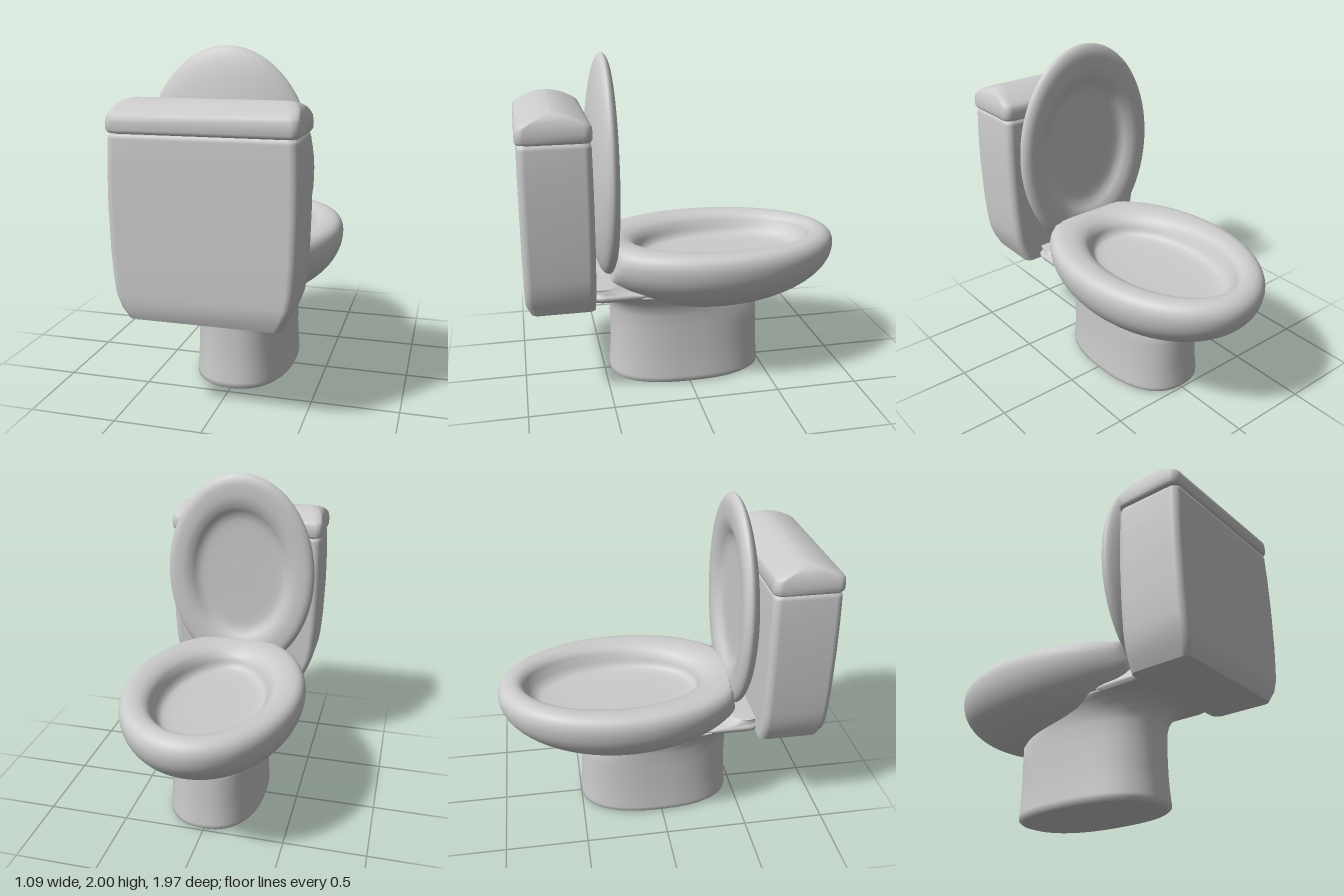
import * as THREE from 'three';

const SEGMENTS = 72;
const material = new THREE.MeshStandardMaterial({ color: 0xcccccc });

// Outline point of a ring: ellipse, superellipse (power) or rounded rectangle (corner)
function ringPoint([y, rx, rz, cz], angle, { power = 2, corner = 0 }) {
  const c = Math.cos(angle), s = Math.sin(angle);
  if (corner) {
    const r = Math.min(corner, rx, rz);
    return [Math.sign(c) * (rx - r) + r * c, y, cz + Math.sign(s) * (rz - r) + r * s];
  }
  const bend = (v) => Math.sign(v) * Math.abs(v) ** (2 / power);
  return [rx * bend(c), y, cz + rz * bend(s)];
}

// Adds in-between rings along a Catmull-Rom curve
function smoothRings(rings, steps) {
  const at = (i) => rings[Math.min(Math.max(i, 0), rings.length - 1)];
  const out = [];
  for (let i = 0; i < rings.length - 1; i++) {
    for (let k = 0; k < steps; k++) {
      const t = k / steps;
      out.push(at(i).map((p1, d) => {
        const p0 = at(i - 1)[d], p2 = at(i + 1)[d], p3 = at(i + 2)[d];
        return p1 + 0.5 * t * (p2 - p0 + t * (2 * p0 - 5 * p1 + 4 * p2 - p3 + t * (3 * (p1 - p2) + p3 - p0)));
      }));
    }
  }
  out.push(at(rings.length - 1));
  return out;
}

// Skin over rings [y, half width, half depth, centre z]; a repeated ring makes a crease
function loft(rings, options = {}) {
  const positions = [], index = [];
  rings.forEach((ring, j) => {
    for (let i = 0; i < SEGMENTS; i++) {
      const p = ringPoint(ring, ((i + 0.5) / SEGMENTS) * Math.PI * 2, options);
      if (options.limit) p[2] = Math.min(p[2], options.limit(p[1]));
      positions.push(...p);
      if (j === rings.length - 1) continue;
      const a = j * SEGMENTS + i, b = j * SEGMENTS + ((i + 1) % SEGMENTS);
      index.push(a, a + SEGMENTS, b, b, a + SEGMENTS, b + SEGMENTS);
    }
  });
  const geometry = new THREE.BufferGeometry();
  geometry.setAttribute('position', new THREE.Float32BufferAttribute(positions, 3));
  geometry.setIndex(index);
  geometry.computeVertexNormals();
  return geometry;
}

export function createModel() {
  const group = new THREE.Group();
  const add = (name, geometry) => {
    const mesh = new THREE.Mesh(geometry, material);
    mesh.name = name;
    group.add(mesh);
  };

  // Pedestal, flaring backwards under the tank
  add('pedestal', loft([
    [0, 0, 0, -0.015], [0, 0.28, 0.465, -0.015], [0, 0.28, 0.465, -0.015],
    [0.015, 0.297, 0.483, -0.015], [0.04, 0.297, 0.483, -0.015], [0.1, 0.292, 0.477, -0.015],
    [0.2, 0.288, 0.471, -0.015], [0.35, 0.287, 0.47, -0.015], [0.45, 0.29, 0.47, -0.01],
    [0.5, 0.298, 0.44, 0.03], [0.54, 0.31, 0.43, 0.065], [0.57, 0.325, 0.43, 0.1],
    [0.59, 0.335, 0.44, 0.15], [0.6, 0.335, 0.44, 0.17], [0.6, 0, 0, 0.17],
  ], { power: 2.4 }));

  // Ledge joining the bowl to the tank
  add('tankLedge', loft(smoothRings([
    [0.585, 0, 0, 0.43], [0.585, 0.29, 0.18, 0.43], [0.6, 0.33, 0.215, 0.425],
    [0.62, 0.335, 0.21, 0.43], [0.635, 0.325, 0.15, 0.48], [0.66, 0.315, 0.11, 0.52],
    [0.67, 0.29, 0.08, 0.54], [0.67, 0, 0, 0.54],
  ], 3), { corner: 0.12 }));

  // Bowl: ellipsoid underside, rounded rim, shallow basin
  const bowl = [];
  for (let i = 0; i <= 8; i++) {
    const a = (i / 8) * Math.PI / 2;
    bowl.push([0.8 - 0.365 * Math.cos(a), 0.545 * Math.sin(a), 0.78 * Math.sin(a), -0.2]);
  }
  bowl.push(
    [0.85, 0.535, 0.767, -0.2], [0.88, 0.508, 0.735, -0.2], [0.891, 0.465, 0.69, -0.205],
    [0.885, 0.405, 0.625, -0.23], [0.86, 0.36, 0.575, -0.25], [0.82, 0.335, 0.545, -0.26],
    [0.77, 0.31, 0.515, -0.25], [0.745, 0.27, 0.46, -0.24], [0.737, 0.16, 0.28, -0.23],
    [0.735, 0, 0, -0.22],
  );
  add('bowl', loft(smoothRings(bowl, 4), { limit: (y) => 0.43 + (0.89 - y) * 0.15 }));

  // Raised seat lid: domed back, rolled rim, dished front; pairs of [z, size, drop]
  const lidProfile = [
    [0.58, 0, 0.08], [0.577, 0.3, 0.08], [0.563, 0.6, 0.06], [0.535, 0.82, 0.03], [0.505, 0.95, 0.01],
    [0.475, 1, 0], [0.45, 0.985, 0], [0.433, 0.93, 0], [0.429, 0.85, 0], [0.433, 0.76, 0],
    [0.45, 0.68, 0], [0.475, 0.61, 0], [0.488, 0.52, 0], [0.491, 0.3, 0], [0.491, 0, 0],
  ];
  const lidRings = lidProfile.map(([z, f, drop]) => [-z, 0.485 * f, 0.665 * f, 1.335 - drop]);
  add('seatLid', loft(smoothRings(lidRings, 4)).rotateX(-Math.PI / 2));

  // Tank body, tapered at the foot
  add('tank', loft([
    [0.585, 0, 0, 0.765], [0.585, 0.42, 0.185, 0.765], [0.585, 0.42, 0.185, 0.765],
    [0.65, 0.45, 0.198, 0.778], [0.72, 0.475, 0.2, 0.78], [0.8, 0.487, 0.201, 0.78],
    [0.95, 0.498, 0.202, 0.78], [1.2, 0.505, 0.202, 0.78], [1.4, 0.502, 0.201, 0.78],
    [1.55, 0.495, 0.199, 0.78], [1.568, 0.488, 0.194, 0.78], [1.575, 0.478, 0.184, 0.78],
    [1.59, 0.478, 0.184, 0.78],
  ], { corner: 0.045 }));

  // Tank cover with an arched top
  add('tankCover', loft([
    [1.575, 0, 0, 0.78], [1.575, 0.478, 0.185, 0.78], [1.58, 0.495, 0.198, 0.78],
    [1.595, 0.505, 0.205, 0.78], [1.63, 0.506, 0.206, 0.78], [1.66, 0.502, 0.203, 0.78],
    [1.675, 0.498, 0.192, 0.78], [1.69, 0.493, 0.17, 0.78], [1.71, 0.485, 0.13, 0.78],
    [1.727, 0.468, 0.09, 0.78], [1.738, 0.445, 0.05, 0.78], [1.743, 0.42, 0.02, 0.78],
    [1.744, 0.4, 0, 0.78],
  ], { corner: 0.05 }));

  return group;
}
